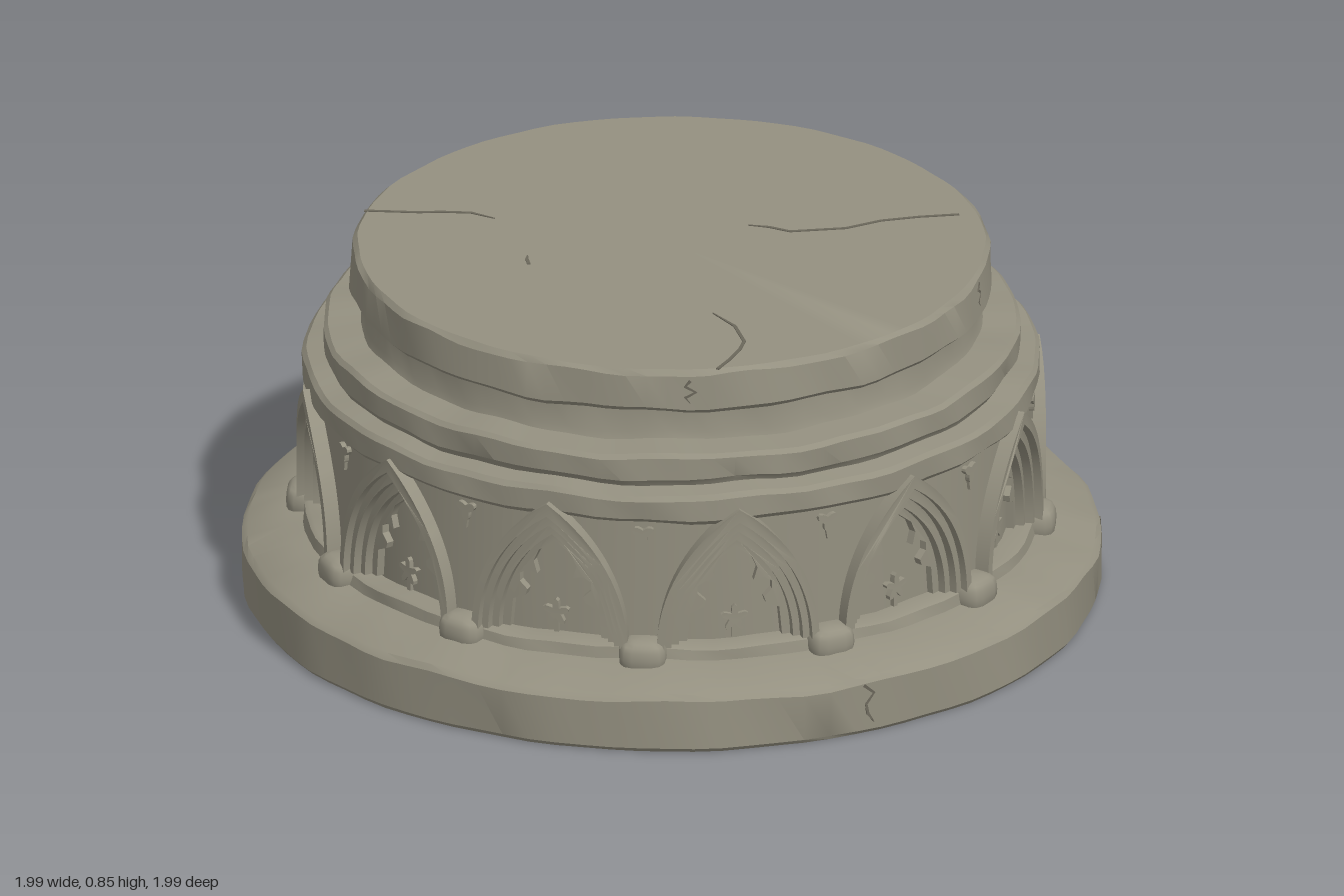
import * as THREE from 'three';
import { toCreasedNormals } from 'three/addons/utils/BufferGeometryUtils.js';

const BAYS = 12, R = 0.83, SILL = 0.2;
const HALF = (R * Math.PI) / BAYS;

const stone = new THREE.MeshStandardMaterial({ color: 0x949080 });
stone.name = 'weathered stone';
const crackStone = new THREE.MeshStandardMaterial({ color: 0x6b675b });
crackStone.name = 'dark crack';

// Move every vertex of a geometry by a rule, then rebuild its normals.
function warp(geo, rule, crease = 0.55) {
  const p = geo.attributes.position, v = new THREE.Vector3();
  for (let i = 0; i < p.count; i++) {
    rule(v.fromBufferAttribute(p, i));
    p.setXYZ(i, v.x, v.y, v.z);
  }
  return toCreasedNormals(geo, crease);
}

// Wrap flat work round the drum: x becomes arc length, z becomes radius.
const wrap = (v, r = R) => v.set(v.z * Math.sin(v.x / r), v.y, v.z * Math.cos(v.x / r));

// Worn, slightly uneven stone.
function wear(v) {
  const a = Math.atan2(v.x, v.z), h = v.y * 23;
  const k = 1 + 0.0025 * Math.sin(a * 7 + h) + 0.002 * Math.sin(a * 17 - h * 1.7) + 0.0015 * Math.sin(a * 29 + h * 2.3);
  v.x *= k;
  v.z *= k;
  if (v.y > 0.02 && v.y < 0.84) v.y += 0.003 * Math.sin(a * 11 + h) + 0.002 * Math.sin(a * 23);
  return v;
}

// Pointed arch outline from right foot over the apex to the left foot.
function archHeight(x, w, h) {
  const r = (w * w + h * h) / (2 * w), d = Math.abs(x) + r - w;
  return Math.sqrt(Math.max(0, r * r - d * d));
}
function archPoints(w, h, n = 14) {
  const r = (w * w + h * h) / (2 * w), right = [];
  for (let i = 0; i <= n; i++) {
    const y = (h * i) / n;
    right.push(new THREE.Vector2(w - r + Math.sqrt(r * r - y * y), SILL + y));
  }
  return mirrored(right);
}
function mirrored(right) {
  return [...right, ...right.slice(0, -1).reverse().map((p) => new THREE.Vector2(-p.x, p.y))];
}

// Curved plate standing between two radii.
function plate(points, r0, r1) {
  const geo = new THREE.ExtrudeGeometry(new THREE.Shape(points), { depth: r1 - r0, bevelEnabled: false });
  geo.translate(0, 0, r0);
  return warp(geo, (v) => wrap(v));
}
const band = (outer, inner, r0, r1) => plate([...outer, ...inner.slice().reverse()], r0, r1);

// Lobed or pointed ornament drawn in polar form.
function rosette(x, y, size, lobes, depth, n = 30) {
  const pts = [];
  for (let i = 0; i < n; i++) {
    const a = (i / n) * Math.PI * 2;
    const s = size * (1 + depth * Math.cos(lobes * a));
    pts.push(new THREE.Vector2(x + s * Math.sin(a), y + s * Math.cos(a)));
  }
  return pts;
}

// Tapering ribbon along a jagged line.
function ribbon(line, width) {
  const a = [], b = [];
  line.forEach(([x, y], i) => {
    const [px, py] = line[Math.max(0, i - 1)], [nx, ny] = line[Math.min(line.length - 1, i + 1)];
    const l = Math.hypot(nx - px, ny - py), w = width * (i === line.length - 1 ? 0.15 : 0.5);
    const ox = (-(ny - py) / l) * w, oy = ((nx - px) / l) * w;
    a.push(new THREE.Vector2(x - ox, y - oy));
    b.unshift(new THREE.Vector2(x + ox, y + oy));
  });
  return new THREE.ExtrudeGeometry(new THREE.Shape([...a, ...b]), { depth: 0.003, bevelEnabled: false });
}

export function createModel() {
  const model = new THREE.Group();
  model.name = 'stonePedestal';
  const add = (parent, name, geo, mat = stone) => {
    const mesh = new THREE.Mesh(geo, mat);
    mesh.name = name;
    parent.add(mesh);
    return mesh;
  };
  const turned = (name, profile) => add(model, name, warp(
    new THREE.LatheGeometry(profile.map(([x, y]) => new THREE.Vector2(x, y)), 96), wear));

  // Turned body, bottom to top
  turned('plinth', [[0, 0], [0.985, 0], [0.993, 0.01], [0.993, 0.125], [0.98, 0.138], [0.885, 0.165],
    [0.85, 0.17], [0.845, 0.195], [0.835, SILL], [0.78, SILL]]);
  turned('recessWall', [[0.79, 0.19], [0.79, 0.53]]);
  turned('lowerCornice', [[0.78, 0.513], [0.84, 0.513], [0.852, 0.525], [0.852, 0.572], [0.842, 0.583], [0.78, 0.59]]);
  turned('upperCornice', [[0.79, 0.58], [0.797, 0.595], [0.805, 0.605], [0.805, 0.655], [0.795, 0.665], [0.7, 0.67]]);
  turned('neck', [[0.722, 0.66], [0.712, 0.685], [0.712, 0.755]]);
  turned('topSlab', [[0.7, 0.745], [0.73, 0.745], [0.742, 0.757], [0.736, 0.838], [0.725, 0.85], [0, 0.85]]);

  // Parts shared by every arcade bay
  const W = 0.185, H = 0.35;
  const outer = archPoints(W, H), middle = archPoints(0.168, 0.318);
  const inner = archPoints(0.152, 0.288), opening = archPoints(0.135, 0.258);
  const foil = mirrored([[0.115, 0.2], [0.108, 0.27], [0.075, 0.285], [0.07, 0.3], [0.09, 0.318], [0.09, 0.338],
    [0.07, 0.35], [0.045, 0.345], [0.054, 0.375], [0.04, 0.405], [0, 0.435]].map(([x, y]) => new THREE.Vector2(x, y)));

  const spandrel = warp(new THREE.PlaneGeometry(HALF * 2, 1, 40, 1), (v) => {
    const top = 0.53;
    const foot = SILL + (Math.abs(v.x) < W ? archHeight(v.x, W, H) : 0);
    v.y = v.y > 0 ? top : Math.min(foot, top);
    v.z = R;
    wrap(v);
  });
  const boss = warp(new THREE.SphereGeometry(1, 14, 10), (v) => {
    // Squared-off, worn lump
    const sq = (n, p) => Math.sign(n) * Math.pow(Math.abs(n), p);
    v.set(sq(v.x, 0.6) * 0.056, 0.182 + sq(v.y, 0.7) * 0.043, 0.84 + sq(v.z, 0.6) * 0.052);
  }, 0.8);
  const bay = [
    ['spandrelWall', spandrel],
    ['outerArchRib', band(outer, middle, 0.785, 0.866)],
    ['middleArchRib', band(middle, inner, 0.785, 0.848)],
    ['innerArchRib', band(inner, opening, 0.785, 0.828)],
    ['trefoilTracery', band(opening, foil, 0.785, 0.808)],
    ['starOrnament', plate(rosette(0, 0.25, 0.024, 5, 0.45), 0.786, 0.802)],
    ['starStem', plate([[-0.006, 0.2], [0.006, 0.2], [0.006, 0.24], [-0.006, 0.24]].map(([x, y]) => new THREE.Vector2(x, y)), 0.786, 0.798)],
    ['spandrelTrefoil', plate(rosette(HALF, 0.482, 0.019, 3, -0.42), 0.825, 0.842)],
    ['spandrelPoint', plate([[-0.006, 0.47], [0, 0.435], [0.006, 0.47]].map(([x, y]) => new THREE.Vector2(HALF + x, y)), 0.825, 0.838)],
  ];
  for (let i = 0; i < BAYS; i++) {
    const g = new THREE.Group();
    g.name = `arcadeBay${i + 1}`;
    g.rotation.y = (i / BAYS) * Math.PI * 2;
    bay.forEach(([name, geo]) => add(g, name, geo));
    add(g, 'footBoss', boss).rotation.y = Math.PI / BAYS;
    model.add(g);
  }

  // Cracks across the top, as x and z
  const topCracks = [
    [[-0.42, -0.6], [-0.38, -0.56], [-0.33, -0.51], [-0.29, -0.48], [-0.24, -0.43], [-0.22, -0.37]],
    [[-0.33, -0.12], [-0.315, -0.145], [-0.3, -0.16]],
    [[0.61, 0.31], [0.53, 0.26], [0.45, 0.22], [0.36, 0.2], [0.25, 0.13], [0.23, 0.08], [0.2, 0.04]],
    [[-0.39, 0.62], [-0.34, 0.6], [-0.28, 0.57], [-0.24, 0.54], [-0.2, 0.46], [-0.19, 0.37]],
  ];
  topCracks.forEach((line) => {
    const geo = ribbon(line.map(([x, z]) => [x, -z]), 0.008);
    geo.rotateX(-Math.PI / 2).translate(0, 0.849, 0);
    add(model, 'topCrack', geo, crackStone);
  });

  // Cracks down the plinth and the top slab
  const sideCrack = (angle, y0, y1, r) => {
    const line = [0, 1, 2, 3, 4].map((i) => [0.014 * Math.sin(i * 2.4 + angle * 5), y0 + ((y1 - y0) * i) / 4]);
    const geo = ribbon(line, 0.007).translate(0, 0, r);
    add(model, 'sideCrack', warp(geo, (v) => {
      v.x += angle * r;
      wear(wrap(v, r));
    }), crackStone);
  };
  [-2.55, -0.23, 0.95, 1.8, 2.9].forEach((a) => sideCrack(a, 0.122, 0.03, 0.9925));
  [-0.65, 0.6, 2.2, 3.6].forEach((a) => sideCrack(a, 0.83, 0.775, 0.738));
  return model;
}
